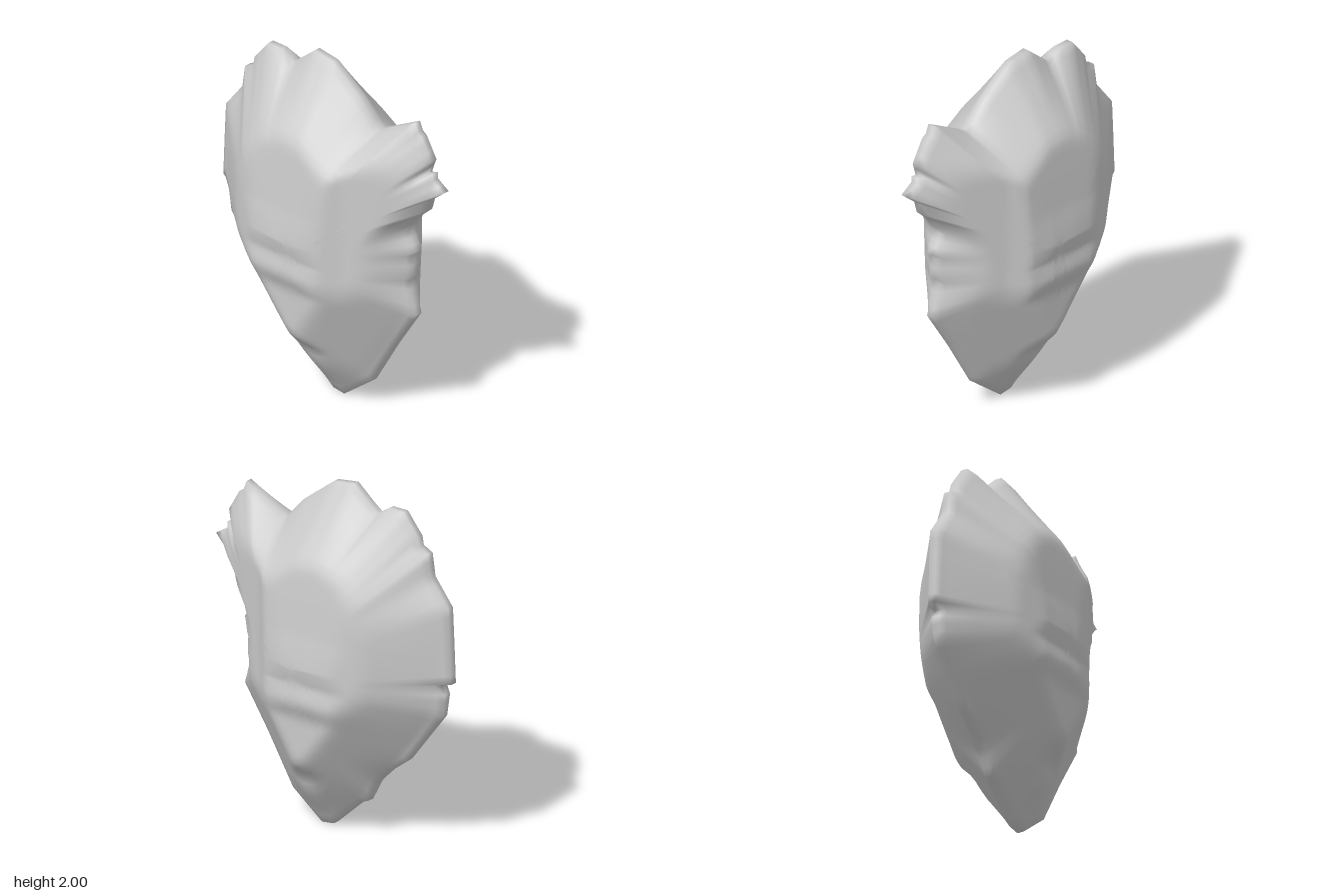
import * as THREE from 'three';

const RIM = 0.02; // half thickness of the rim
const CX = 0, CY = 1; // middle of the swelling

// Jagged silhouette, counter-clockwise seen from the front
const OUTLINE = [
  [0.81, 1.48], [0.73, 1.53], [0.73, 1.565], [0.67, 1.545], [0.72, 1.64], [0.65, 1.76], [0.62, 1.78],
  [0.6, 1.83], [0.33, 1.69], [0.2, 1.83], [0.08, 1.92], [0, 1.98], [-0.14, 2], [-0.3, 1.87],
  [-0.38, 1.92], [-0.48, 1.92], [-0.58, 1.8], [-0.59, 1.75], [-0.65, 1.72], [-0.67, 1.59],
  [-0.79, 1.44], [-0.8, 1.24], [-0.81, 1.01], [-0.74, 0.99], [-0.77, 0.94], [-0.75, 0.81],
  [-0.51, 0.5], [-0.39, 0.41], [-0.31, 0.33], [-0.24, 0.2], [-0.19, 0.18], [0, 0.01], [0.08, 0],
  [0.28, 0.15], [0.45, 0.43], [0.61, 0.67], [0.56, 0.86], [0.59, 0.9], [0.58, 1.02], [0.61, 1.05],
  [0.55, 1.16], [0.6, 1.25], [0.69, 1.33], [0.71, 1.4], [0.76, 1.44],
];

// Greatest depth allowed along the width and along the height
const DEPTH_X = [[-0.81, 0.02], [-0.6, 0.19], [-0.45, 0.31], [-0.26, 0.385], [-0.1, 0.4], [0.05, 0.395],
  [0.2, 0.36], [0.3, 0.285], [0.5, 0.185], [0.68, 0.09], [0.76, 0.03], [0.81, 0.02]];
const DEPTH_Y = [[0, 0.02], [0.2, 0.185], [0.33, 0.22], [0.44, 0.34], [0.72, 0.345], [0.82, 0.395],
  [0.92, 0.37], [1.02, 0.4], [1.2, 0.365], [1.4, 0.345], [1.62, 0.32], [1.73, 0.235], [1.83, 0.18],
  [1.92, 0.1], [2, 0.02]];

function sample(table, v) {
  for (let i = 1; i < table.length; i++) {
    const [a, da] = table[i - 1], [b, db] = table[i];
    if (v <= b) return da + (db - da) * Math.max(0, (v - a) / (b - a));
  }
  return table[table.length - 1][1];
}

// Minimum with a softly rounded crease
function softMin(a, b) {
  const k = 0.035, h = Math.max(0, k - Math.abs(a - b)) / k;
  return Math.min(a, b) - (h * h * k) / 4;
}

// Flat cheek rising inward from the rim edge a-b
function facet(x, y, [ax, ay], [bx, by], slope) {
  const dx = bx - ax, dy = by - ay;
  return RIM + (slope * (dx * (y - ay) - dy * (x - ax))) / Math.hypot(dx, dy);
}

// Half depth of the body: t runs from the centre (0) to the rim (1)
function depth(x, y, t) {
  const rise = Math.abs(y - CY) / (Math.hypot(x - CX, y - CY) + 0.01);
  const width = 0.56 - 0.1 * rise * rise;
  let d = RIM + 0.42 * Math.min(1, (1 - t) / (width * 1.1));
  d = softMin(d, facet(x, y, [0.28, 0.15], [0.61, 0.67], 0.85));
  d = softMin(d, facet(x, y, [-0.75, 0.81], [-0.24, 0.2], 1));
  d = softMin(d, sample(DEPTH_X, x));
  d = softMin(d, sample(DEPTH_Y, y));
  return Math.max(RIM, d);
}

// Split long edges so the surface bends smoothly
function refine(points, step) {
  const out = [];
  points.forEach(([x, y], i) => {
    const [nx, ny] = points[(i + 1) % points.length];
    const n = Math.max(1, Math.round(Math.hypot(nx - x, ny - y) / step));
    for (let k = 0; k < n; k++) out.push([x + ((nx - x) * k) / n, y + ((ny - y) * k) / n]);
  });
  return out;
}

// Closed body: two mirrored halves of growing rings, joined along the rim
function bodyGeometry() {
  const outline = refine(OUTLINE, 0.05);
  const n = outline.length, rings = 24, half = 1 + rings * n;
  const radius = outline.map(([x, y]) => Math.hypot(x - CX, y - CY));
  // evened-out radius, so the jags fade away from the rim
  const even = radius.map((_, i) => {
    let sum = 0;
    for (let k = -6; k <= 6; k++) sum += radius[(i + k + n) % n];
    return sum / 13;
  });

  const pos = [], idx = [];
  for (const side of [1, -1]) {
    const start = pos.length / 3;
    const tri = (a, b, c) => (side > 0 ? idx.push(a, b, c) : idx.push(a, c, b));
    pos.push(CX, CY, side * depth(CX, CY, 0));
    for (let r = 1; r <= rings; r++) {
      const t = r / rings, jag = t ** 4;
      const b = start + 1 + (r - 1) * n, a = b - n;
      for (let i = 0; i < n; i++) {
        const j = (i + 1) % n;
        const scale = t * (jag + ((1 - jag) * even[i]) / radius[i]);
        const x = CX + (outline[i][0] - CX) * scale;
        const y = CY + (outline[i][1] - CY) * scale;
        pos.push(x, y, side * (r === rings ? RIM : depth(x, y, t)));
        if (r === 1) tri(start, b + i, b + j);
        else {
          tri(a + i, b + i, b + j);
          tri(a + i, b + j, a + j);
        }
      }
    }
  }

  // narrow band between the two halves
  const front = half - n, back = 2 * half - n;
  for (let i = 0; i < n; i++) {
    const j = (i + 1) % n;
    idx.push(front + i, back + i, back + j, front + i, back + j, front + j);
  }

  const g = new THREE.BufferGeometry();
  g.setAttribute('position', new THREE.Float32BufferAttribute(pos, 3));
  g.setIndex(idx);
  g.computeVertexNormals();
  return g;
}

export function createModel() {
  const group = new THREE.Group();
  group.name = 'jaggedForm';
  const body = new THREE.Mesh(bodyGeometry(), new THREE.MeshStandardMaterial({ color: 0xcccccc }));
  body.name = 'body';
  group.add(body);
  return group;
}
